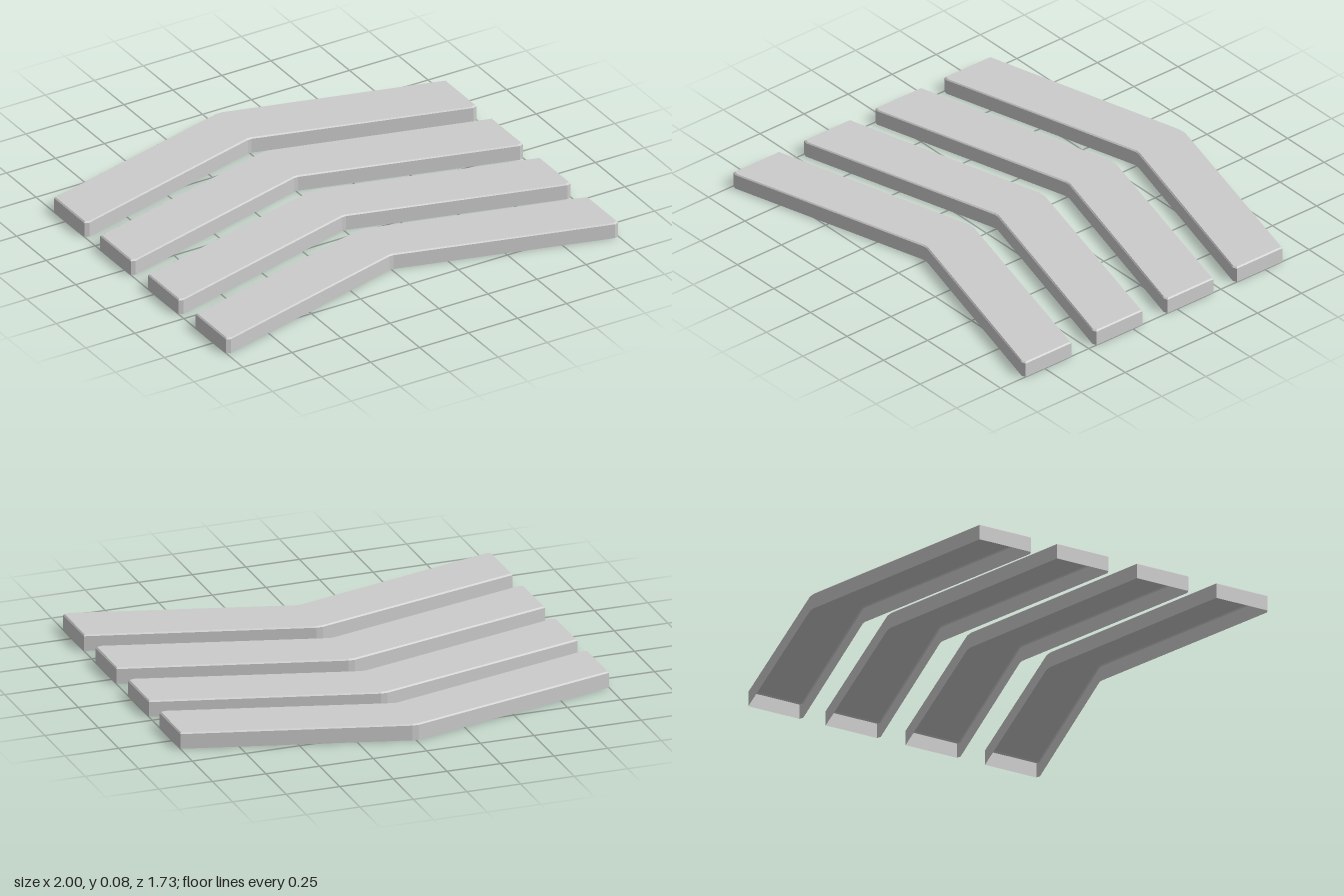
import * as THREE from 'three';

const HEIGHT = 0.075;
const BEVEL = 0.006;

// Chevron outline at height y, pulled inwards by d; runs along the back edge, then returns along the front.
function outline(y, d) {
  const half = [[0.015, -0.265 + d], [1 - d, d], [1 - d, 0.26 - d], [0.98 - d, 0.267 - d], [0.01, -d]];
  const right = half.map(([x, z]) => new THREE.Vector3(x, y, z));
  const left = half.map(([x, z]) => new THREE.Vector3(-x, y, z)).reverse();
  // start at the left end of the back edge
  return [left[3], left[4], ...right, left[0], left[1], left[2]];
}

// Hollow chevron shell: side walls, small top bevel and top face, open underneath.
function chevronGeometry() {
  const rings = [outline(0, 0), outline(HEIGHT - BEVEL, 0), outline(HEIGHT, BEVEL)];
  const points = [];
  const quad = (a, b, c, d) => points.push(a, b, c, a, c, d);
  for (let r = 0; r < 2; r++) {
    const low = rings[r], high = rings[r + 1], n = low.length;
    for (let i = 0; i < n; i++) {
      const j = (i + 1) % n;
      quad(low[i], high[i], high[j], low[j]);
    }
  }
  const top = rings[2];
  for (let i = 0; i < 4; i++) quad(top[i], top[9 - i], top[8 - i], top[i + 1]);
  const geometry = new THREE.BufferGeometry().setFromPoints(points);
  geometry.computeVertexNormals();
  return geometry;
}

export function createModel() {
  const model = new THREE.Group();
  model.name = 'chevronStrips';
  const material = new THREE.MeshStandardMaterial({
    color: 0xcccccc, flatShading: true, side: THREE.DoubleSide,
  });
  const geometry = chevronGeometry();

  // Four strips, one behind the other
  [-0.6, -0.208, 0.196, 0.598].forEach((z, i) => {
    const strip = new THREE.Mesh(geometry, material);
    strip.name = `chevronStrip${i + 1}`;
    strip.position.z = z;
    model.add(strip);
  });
  return model;
}
